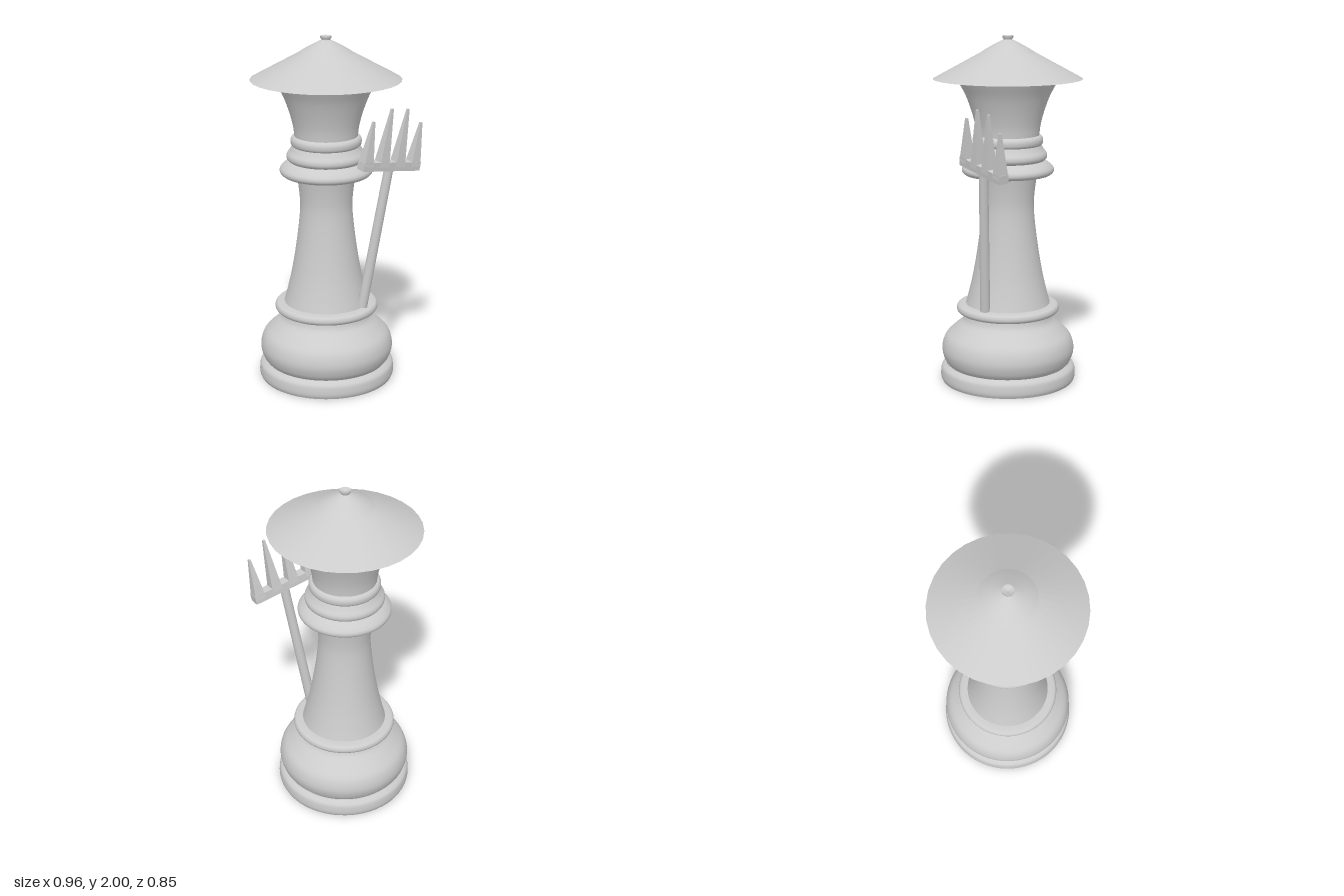
import * as THREE from 'three';

const material = new THREE.MeshStandardMaterial({ color: 0xcccccc, side: THREE.DoubleSide });

function add(parent, name, geometry) {
  const mesh = new THREE.Mesh(geometry, material);
  mesh.name = name;
  parent.add(mesh);
  return mesh;
}

// Turned part: [radius, height] points from bottom to top, optionally smoothed
function turned(parent, name, points, smooth = 0, segments = 64) {
  let profile = points.map(([r, y]) => new THREE.Vector2(r, y));
  if (smooth) profile = new THREE.SplineCurve(profile).getPoints(smooth);
  return add(parent, name, new THREE.LatheGeometry(profile, segments));
}

function makePiece() {
  const piece = new THREE.Group();
  piece.name = 'chessPiece';
  piece.position.x = -0.057;

  // Foot and swelling base
  turned(piece, 'footUnderside', [[0, 0], [0.385, 0]]);
  turned(piece, 'foot', [[0.385, 0], [0.393, 0.02], [0.393, 0.05], [0.386, 0.08], [0.36, 0.1]], 16);
  turned(piece, 'baseBulge', [[0.35, 0.098], [0.372, 0.13], [0.385, 0.19], [0.365, 0.26],
    [0.31, 0.315], [0.26, 0.36], [0.245, 0.405]], 28);
  turned(piece, 'baseFlange', [[0.24, 0.402], [0.28, 0.405], [0.297, 0.422], [0.293, 0.445],
    [0.275, 0.455], [0.23, 0.46]], 18);

  // Tapering stem
  turned(piece, 'stem', [[0.245, 0.455], [0.225, 0.53], [0.198, 0.65], [0.17, 0.82],
    [0.15, 1.0], [0.152, 1.1], [0.165, 1.2], [0.172, 1.225]], 32);

  // Stacked collars
  turned(piece, 'collarUnderside', [[0.15, 1.217], [0.245, 1.217]]);
  turned(piece, 'collar', [[0.245, 1.217], [0.261, 1.232], [0.26, 1.255], [0.235, 1.28], [0.205, 1.297]], 16);
  turned(piece, 'middleRing', [[0.2, 1.292], [0.221, 1.31], [0.222, 1.335], [0.205, 1.36], [0.19, 1.385]], 16);
  turned(piece, 'upperRing', [[0.185, 1.382], [0.198, 1.395], [0.2, 1.42], [0.19, 1.437], [0.175, 1.443]], 14);

  // Flared head
  turned(piece, 'head', [[0.178, 1.435], [0.186, 1.5], [0.207, 1.58], [0.238, 1.665],
    [0.272, 1.73], [0.29, 1.762]], 24);

  // Conical hat with raised crown and a dished knob
  turned(piece, 'hatUnderside', [[0, 1.76], [0.423, 1.76]], 0, 32);
  turned(piece, 'hatBrim', [[0.423, 1.76], [0, 1.99]], 0, 32);
  turned(piece, 'hatCrown', [[0.165, 1.899], [0.12, 1.928], [0.06, 1.961], [0, 1.99]], 12);
  turned(piece, 'knob', [[0.02, 1.965], [0.024, 1.98], [0.031, 1.99], [0.031, 2]], 0, 24);
  turned(piece, 'knobTop', [[0.031, 2], [0, 1.988]], 0, 24);
  return piece;
}

function makeFork() {
  const fork = new THREE.Group();
  fork.name = 'fork';

  // Local y runs along the leaning handle, local x along the crossbar
  const up = new THREE.Vector3(0.17, 0.98, 0).normalize();
  const across = new THREE.Vector3(0.8, -0.139, -0.57).normalize();
  const out = new THREE.Vector3().crossVectors(across, up);
  fork.quaternion.setFromRotationMatrix(new THREE.Matrix4().makeBasis(across, up, out));
  fork.position.set(0.295, 1.3, 0.125);

  const handle = add(fork, 'handle', new THREE.CylinderGeometry(0.026, 0.029, 0.85, 16));
  handle.position.y = -0.425;
  add(fork, 'crossbar', new THREE.BoxGeometry(0.395, 0.05, 0.06));

  // Square spikes, the middle pair longer
  for (const [x, tip] of [[-0.165, 0.25], [-0.055, 0.325], [0.055, 0.325], [0.165, 0.25]]) {
    const spike = new THREE.CylinderGeometry(0.009, 0.045, tip, 4).toNonIndexed();
    spike.rotateY(Math.PI / 4);
    spike.computeVertexNormals();
    const mesh = add(fork, 'tine', spike);
    mesh.position.set(x, tip / 2, 0);
  }
  return fork;
}

export function createModel() {
  const model = new THREE.Group();
  model.name = 'chessPieceWithFork';
  model.add(makePiece(), makeFork());
  return model;
}
